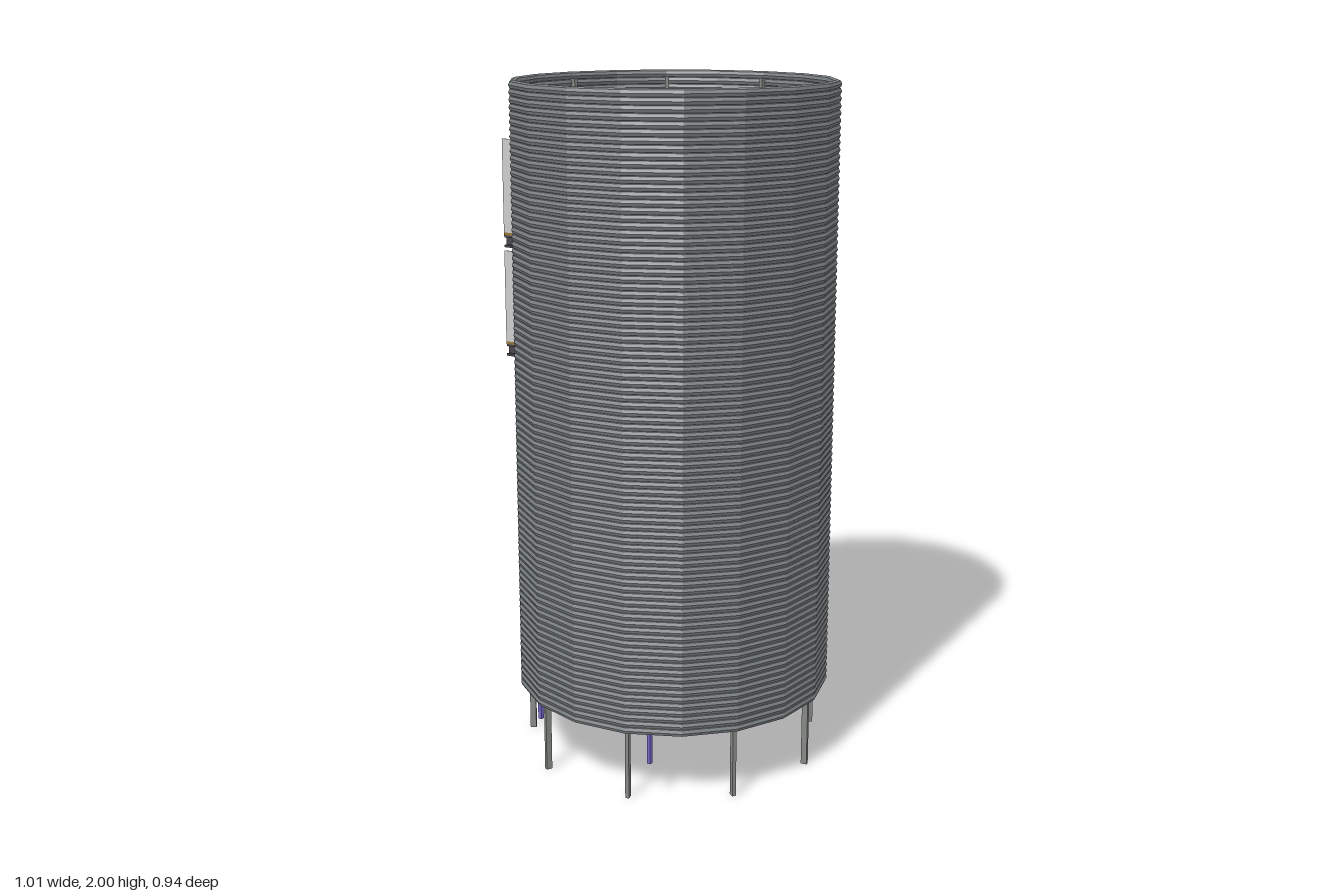
import * as THREE from 'three';

const mat = (name, color, extra = {}) => {
  const m = new THREE.MeshStandardMaterial({ color, ...extra });
  m.name = name;
  return m;
};

export function createModel() {
  const tubeGrey = mat('tube grey', 0x7c8184, { flatShading: true });
  const postGrey = mat('post grey', 0x858885);
  const purple = mat('purple steel', 0x7468c8);
  const wood = mat('brown decking', 0x92763a);
  const panel = mat('pale panel', 0xcdcdcd);
  const dark = mat('dark steel', 0x4a464e);

  const model = new THREE.Group();
  model.name = 'tower';
  const part = (name, parent = model) => {
    const g = new THREE.Group();
    g.name = name;
    parent.add(g);
    return g;
  };
  // Box given by its low and high corners
  const box = (parent, name, m, x0, x1, y0, y1, z0, z1) => {
    const mesh = new THREE.Mesh(new THREE.BoxGeometry(x1 - x0, y1 - y0, z1 - z0), m);
    mesh.position.set((x0 + x1) / 2, (y0 + y1) / 2, (z0 + z1) / 2);
    mesh.name = name;
    parent.add(mesh);
    return mesh;
  };
  // Upright slab running from one plan point to another
  const wall = (parent, name, m, [xa, za], [xb, zb], y0, y1, t) => {
    const l = Math.hypot(xb - xa, zb - za);
    const mesh = new THREE.Mesh(new THREE.BoxGeometry(l, y1 - y0, t), m);
    mesh.position.set((xa + xb) / 2, (y0 + y1) / 2, (za + zb) / 2);
    mesh.rotation.y = -Math.atan2(zb - za, xb - xa);
    mesh.name = name;
    parent.add(mesh);
  };

  // Screen of stacked eighteen-sided rings
  const CX = 0.04, R = 0.4575, r = 0.0125, RINGS = 89;
  const screen = part('ringScreen');
  const ringGeo = new THREE.TorusGeometry(R, r, 8, 18);
  ringGeo.rotateX(Math.PI / 2).rotateY(Math.PI / 2);
  for (let i = 0; i < RINGS; i++) {
    const ring = new THREE.Mesh(ringGeo, tubeGrey);
    ring.position.set(CX, 0.205 + r + (i * (1.795 - 2 * r)) / (RINGS - 1), 0);
    ring.name = 'ring';
    screen.add(ring);
  }

  // Nine posts just inside the screen, down to the ground
  const screenPosts = part('screenPosts');
  for (let i = 0; i < 9; i++) {
    const a = (i * Math.PI * 2) / 9;
    const p = new THREE.Mesh(new THREE.BoxGeometry(0.011, 1.98, 0.018), postGrey);
    p.position.set(CX + 0.44 * Math.sin(a), 0.99, -0.44 * Math.cos(a));
    p.rotation.y = -a;
    p.name = 'screenPost';
    screenPosts.add(p);
  }

  // Inner frame columns: x, z, bottom, top
  const columns = part('columns');
  [[-0.355, -0.135, 0.135, 1.81], [-0.165, -0.36, 0.135, 1.81], [0.245, -0.135, 0.11, 1.81],
    [-0.355, 0.13, 0.135, 1.5], [-0.165, 0.13, 0.135, 1.5], [0.245, 0.13, 0.11, 1.81],
    [-0.165, 0.382, 0.135, 1.5], [0.245, 0.382, 0.11, 1.81], [-0.085, -0.138, 0.11, 1.5]]
    .forEach(([x, z, y0, y1]) =>
      box(columns, 'column', purple, x - 0.006, x + 0.006, y0, y1, z - 0.006, z + 0.006));

  // Back room floor outline with a stair opening (shape y is -z)
  const roomShape = new THREE.Shape([[-0.35, 0.14], [0.235, 0.14], [0.235, 0.365], [-0.165, 0.365]]
    .map(([x, y]) => new THREE.Vector2(x, y)));
  roomShape.holes.push(new THREE.Path([[-0.05, 0.147], [-0.05, 0.36], [0.12, 0.36], [0.12, 0.147]]
    .map(([x, y]) => new THREE.Vector2(x, y))));
  const roomGeo = new THREE.ExtrudeGeometry(roomShape, { depth: 0.008, bevelEnabled: false });
  roomGeo.rotateX(-Math.PI / 2);

  const STEP = 0.335;
  [0.86, 1.195, 1.53].forEach((y, level) => {
    const floor = part('floor');
    floor.position.y = y;
    const west = level ? -0.51 : -0.35;

    // Long deck on channel beams
    box(floor, 'deck', wood, west, 0.24, -0.008, 0, -0.125, 0.122);
    [-0.108, 0, 0.106].forEach((z) => {
      box(floor, 'beamWeb', dark, west, 0.24, -0.045, -0.008, z - 0.006, z + 0.006);
      for (const y0 of [-0.045, -0.015]) {
        box(floor, 'beamFlange', dark, west, 0.24, y0, y0 + 0.007, z - 0.015, z + 0.015);
      }
    });
    box(floor, 'deckDivider', panel, -0.012, -0.008, 0, 0.1, -0.105, 0.1);

    // Balcony side panels
    if (level) {
      for (const z of [-0.123, 0.12]) {
        box(floor, 'balconyPanel', panel, west, -0.355, 0, 0.28, z - 0.002, z + 0.002);
      }
    }

    // Front bay slab
    box(floor, 'frontBay', panel, -0.162, 0.24, -0.03, -0.02, 0.135, 0.375);

    // Back room floor, walls and edge frames
    const room = new THREE.Mesh(roomGeo, wood);
    room.position.y = -0.01;
    room.name = 'roomFloor';
    floor.add(room);
    wall(floor, 'slantedWall', panel, [-0.35, -0.135], [-0.165, -0.36], 0, 0.275, 0.008);
    wall(floor, 'slantedWallBeam', dark, [-0.35, -0.135], [-0.165, -0.36], 0.255, 0.28, 0.022);
    box(floor, 'innerWall', panel, -0.35, -0.09, 0, 0.1, -0.145, -0.128);
    wall(floor, 'sideWall', panel, [0.243, -0.13], [0.243, 0.38], -0.02, 0.275, 0.004);
    const rail = (x0, x1, z0, z1) => box(floor, 'rail', dark, x0, x1, 0.08, 0.09, z0, z1);
    rail(-0.165, 0.24, -0.374, -0.364);
    rail(0.231, 0.239, -0.37, -0.135);
    rail(-0.085, 0.24, -0.146, -0.134);
    rail(-0.05, -0.042, -0.365, -0.25);
    rail(-0.05, 0.12, -0.264, -0.247);

    // Two flights of stairs down to a half landing
    const stairs = part('stairs', floor);
    for (let i = 0; i < 7; i++) {
      const x = -0.05 + (i * 0.17) / 7, h = STEP / 14;
      const yUp = -(i + 1) * h, yDown = -STEP + (i + 1) * h;
      box(stairs, 'tread', panel, x, x + 0.0243, yUp - 0.01, yUp, -0.245, -0.147);
      box(stairs, 'tread', panel, x, x + 0.0243, yDown - 0.01, yDown, -0.362, -0.265);
    }
    box(stairs, 'landing', wood, 0.12, 0.235, -STEP / 2 - 0.008, -STEP / 2, -0.362, -0.147);
  });

  return model;
}
